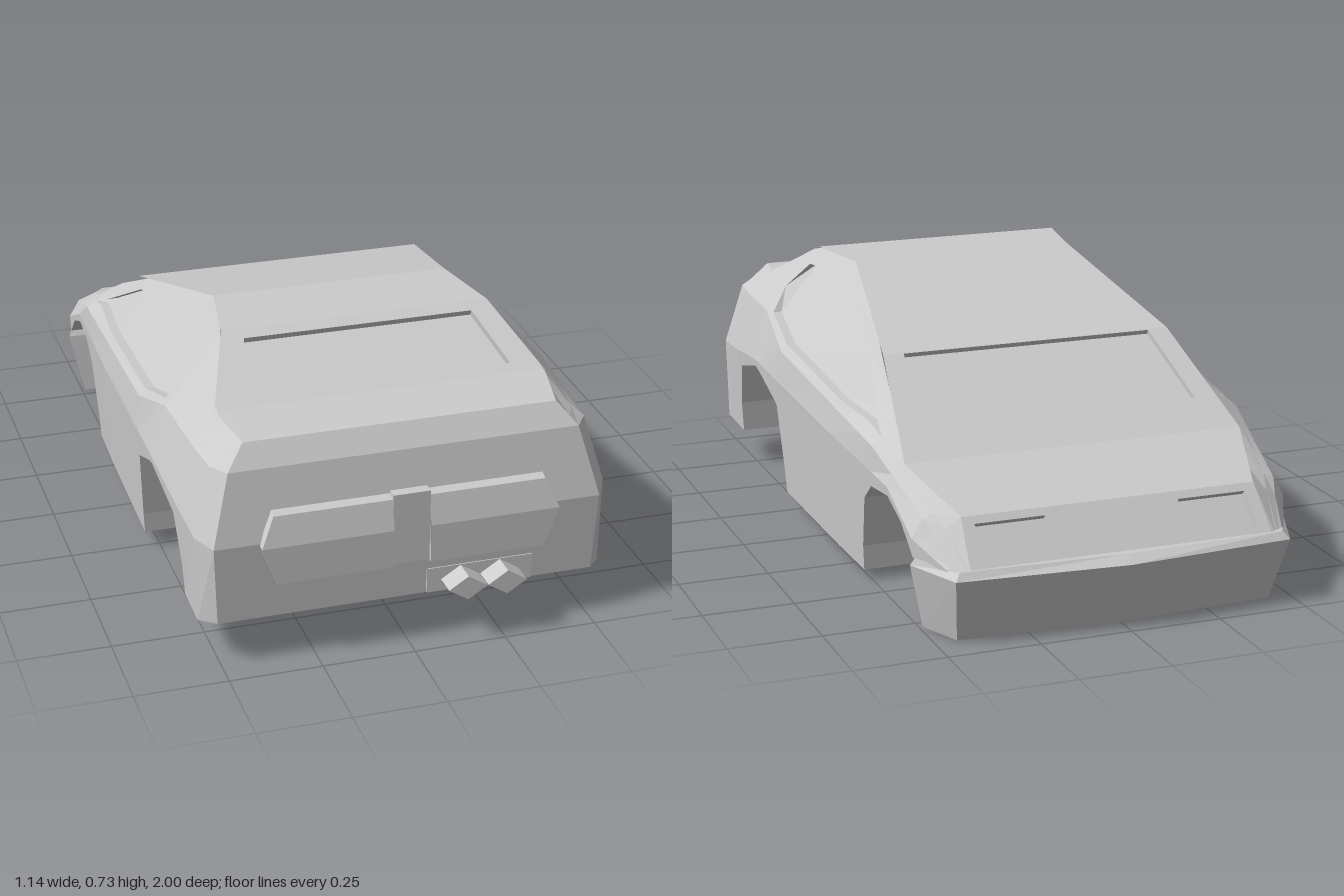
import * as THREE from 'three';

const material = new THREE.MeshStandardMaterial({ color: 0xcccccc, flatShading: true });
const v3 = (x, y, z) => new THREE.Vector3(x, y, z);
const flip = (p) => v3(-p.x, p.y, p.z);
const mix = (a, b, t) => a.clone().lerp(b, t);

// Collects quads (corners counter-clockwise from outside) into one mesh
class Skin {
  constructor() { this.points = []; }
  quad(a, b, c, d) { this.points.push(a, b, c, a, c, d); }
  both(a, b, c, d) {
    this.quad(a, b, c, d);
    this.quad(flip(d), flip(c), flip(b), flip(a));
  }
  // Quad with a sunken panel, given as a u/v rectangle
  sunken([a, b, c, d], [u0, u1, v0, v1], depth) {
    const at = (u, v) => mix(mix(a, b, u), mix(d, c, u), v);
    const normal = b.clone().sub(a).cross(d.clone().sub(a)).normalize();
    const outer = [a, b, c, d];
    const rim = [at(u0, v0), at(u1, v0), at(u1, v1), at(u0, v1)];
    const floor = rim.map((p) => p.clone().addScaledVector(normal, -depth));
    for (let i = 0; i < 4; i++) {
      const j = (i + 1) % 4;
      this.quad(outer[i], outer[j], rim[j], rim[i]);
      this.quad(rim[i], rim[j], floor[j], floor[i]);
    }
    this.quad(...floor);
  }
  mesh(name) {
    const geometry = new THREE.BufferGeometry().setFromPoints(this.points);
    geometry.computeVertexNormals();
    const mesh = new THREE.Mesh(geometry, material);
    mesh.name = name;
    return mesh;
  }
}

// Curves along the body from tail to nose; each key starts with its z
// Upper edge: z, y, half width
const ridge = [
  [0.86, 0.6, 0.42], [0.7, 0.615, 0.45], [0.47, 0.73, 0.37], [0.24, 0.73, 0.33],
  [-0.27, 0.59, 0.42], [-0.62, 0.39, 0.48], [-0.85, 0.31, 0.41], [-0.95, 0.195, 0.42],
];
// Lower edge with wheel arches and sill: z, y
const hem = [
  [0.73, 0.11], [0.725, 0.2], [0.68, 0.33], [0.49, 0.38], [0.45, 0.37], [0.3, 0.31],
  [0.27, 0.11], [0.265, 0.05], [0.24, 0.05], [-0.2, 0.036], [-0.395, 0.03], [-0.4, 0.1],
  [-0.44, 0.25], [-0.5, 0.3], [-0.62, 0.31], [-0.72, 0.27], [-0.8, 0.2], [-0.85, 0.18], [-0.95, 0.175],
];
// Widest line: z, half width, y
const belt = [
  [0.73, 0.56, 0.37], [0.49, 0.57, 0.4], [-0.2, 0.55, 0.36],
  [-0.62, 0.53, 0.335], [-0.8, 0.525, 0.25], [-0.95, 0.455, 0.18],
];
// Line below the windows: z, half width, y
const shoulder = [
  [0.73, 0.515, 0.54], [0.49, 0.53, 0.545], [0.27, 0.55, 0.475],
  [-0.5, 0.53, 0.41], [-0.8, 0.495, 0.3], [-0.95, 0.44, 0.187],
];
// Window between shoulder and ridge: z, start, end
const sideWindow = [[0.49, 0.4, 0.4], [0.45, 0.08, 0.77], [0.24, 0.08, 0.88], [-0.2, 0.12, 0.82], [-0.5, 0.4, 0.4]];

function sample(keys, z) {
  let i = 0;
  while (i < keys.length - 2 && keys[i + 1][0] > z) i++;
  const [a, b] = [keys[i], keys[i + 1]];
  const t = THREE.MathUtils.clamp((a[0] - z) / (a[0] - b[0]), 0, 1);
  return a.slice(1).map((value, k) => THREE.MathUtils.lerp(value, b[k + 1], t));
}

function ridgeAt(z) {
  const [y, x] = sample(ridge, z);
  return v3(x, y, z);
}

// A column runs bottom, belt, shoulder, window rim and sunken glass, ridge
function column(bottom, middle, upper, top, from = 0.4, to = 0.4) {
  const low = mix(upper, top, from), high = mix(upper, top, to);
  const inward = v3(to > from ? -0.025 : 0, 0, 0);
  return [bottom, middle, upper, low, low.clone().add(inward), high.clone().add(inward), high, top];
}

function sideColumn([z, y]) {
  const [beltX, beltY] = sample(belt, z);
  const bottomX = beltX - 0.06 * (beltY - y);
  return column(v3(bottomX, y, z), v3(beltX, beltY, z), v3(...sample(shoulder, z), z),
    ridgeAt(z), ...sample(sideWindow, z));
}

function buildBody() {
  const skin = new Skin();
  const columns = [
    column(v3(0.51, 0.13, 0.93), v3(0.52, 0.35, 0.942), v3(0.47, 0.54, 0.9), ridgeAt(0.86)),
    column(v3(0.55, 0.12, 0.88), v3(0.555, 0.36, 0.88), v3(0.505, 0.54, 0.85), ridgeAt(0.8)),
    ...hem.map(sideColumn),
  ];
  // Sides with window recesses, and the underside with full-width wheel arches
  for (let i = 0; i < columns.length - 1; i++) {
    const a = columns[i], b = columns[i + 1];
    for (let j = 0; j < a.length - 1; j++) skin.both(a[j], b[j], b[j + 1], a[j + 1]);
    skin.quad(flip(b[0]), b[0], a[0], flip(a[0]));
  }
  // Tail and nose end faces
  const tail = columns[0], nose = columns[columns.length - 1];
  for (let j = 0; j < tail.length - 1; j++) {
    skin.quad(flip(tail[j]), tail[j], tail[j + 1], flip(tail[j + 1]));
    skin.quad(nose[j], flip(nose[j]), flip(nose[j + 1]), nose[j + 1]);
  }
  // Top panels: rear window, roof, windscreen, bonnet and headlamp pockets
  for (let i = 0; i < ridge.length - 1; i++) {
    const a = ridgeAt(ridge[i][0]), b = ridgeAt(ridge[i + 1][0]);
    const corners = [flip(a), a, b, flip(b)];
    if (i === 1) skin.sunken(corners, [0.085, 0.915, 0.13, 0.87], 0.018);
    else if (i === 4) skin.sunken(corners, [0.07, 0.93, 0.01, 0.69], 0.015);
    else if (i === 6) {
      const midA = v3(0, a.y, a.z), midB = v3(0, b.y, b.z);
      skin.sunken([midA, a, b, midB], [0.45, 0.92, 0.15, 0.85], 0.02);
      skin.sunken([flip(a), midA, midB, flip(b)], [0.08, 0.55, 0.15, 0.85], 0.02);
    } else skin.quad(...corners);
  }
  return skin.mesh('bodyShell');
}

// Nose bumper lofted between stacked outlines
function buildBumper() {
  const skin = new Skin();
  const ring = (y, sideX, sideZ, cornerX, cornerZ, tipZ) => {
    const side = v3(sideX, y, sideZ), corner = v3(cornerX, y, cornerZ);
    return [side, corner, v3(0, y, tipZ), flip(corner), flip(side)];
  };
  const rings = [
    ring(0, 0.49, -0.78, 0.44, -0.9, -0.93),
    ring(0.18, 0.53, -0.8, 0.465, -0.965, -1),
    ring(0.2, 0.52, -0.81, 0.45, -0.95, -0.97),
  ];
  for (let r = 0; r < 2; r++) {
    for (let i = 0; i < 5; i++) {
      const j = (i + 1) % 5;
      skin.quad(rings[r][i], rings[r][j], rings[r + 1][j], rings[r + 1][i]);
    }
  }
  const [low, , high] = rings;
  for (let i = 1; i < 4; i++) {
    skin.points.push(high[0], high[i], high[i + 1], low[0], low[i + 1], low[i]);
  }
  return skin.mesh('noseBumper');
}

// Raised tail lamps with pointed outer ends and a bevelled upper face
function buildTailLamps() {
  const skin = new Skin();
  const outline = [[0.05, 0.24], [0.36, 0.24], [0.4, 0.345], [0.365, 0.45], [0.05, 0.45]];
  const back = outline.map(([x, y]) => v3(x, y, 0.88));
  const front = outline.map(([x, y]) => (y > 0.4 ? v3(x, y - 0.025, 0.945) : v3(x, y, 0.965)));
  for (let i = 0; i < 5; i++) {
    const j = (i + 1) % 5;
    skin.both(back[i], back[j], front[j], front[i]);
  }
  const inner = v3(0.05, 0.345, 0.965);
  skin.both(front[0], front[1], front[2], inner);
  skin.both(inner, front[2], front[3], front[4]);
  return skin.mesh('tailLamps');
}

function add(model, name, geometry, x, y, z) {
  const mesh = new THREE.Mesh(geometry, material);
  mesh.position.set(x, y, z);
  mesh.name = name;
  model.add(mesh);
}

export function createModel() {
  const model = new THREE.Group();
  model.name = 'carBody';
  model.add(buildBody(), buildBumper(), buildTailLamps());
  add(model, 'tailLampBridge', new THREE.BoxGeometry(0.1, 0.2, 0.06), 0, 0.34, 0.922);
  add(model, 'exhaustPlate', new THREE.BoxGeometry(0.29, 0.07, 0.03), 0.195, 0.167, 0.922);
  // Diamond exhaust tips
  const tip = new THREE.CylinderGeometry(1, 1, 0.1, 4).rotateX(Math.PI / 2).scale(0.053, 0.034, 1);
  for (const x of [0.142, 0.25]) add(model, 'exhaustTip', tip, x, 0.166, 0.95);
  return model;
}
